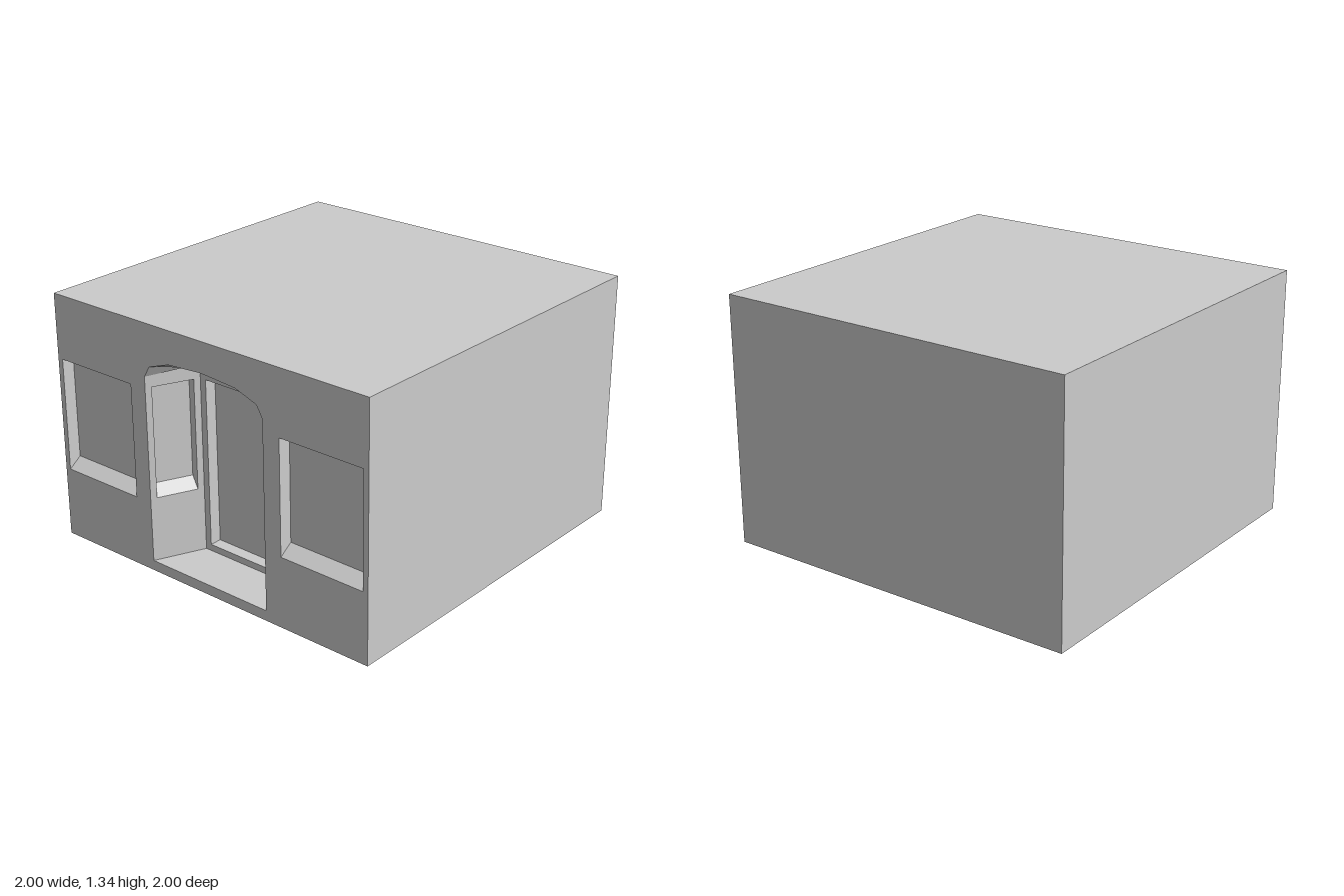
import * as THREE from 'three';

const H = 1.335;          // building height
const STEP = 0.055;       // porch floor height
const FRONT_X = 0.38;     // porch half width at the facade
const BACK_X = 0.265;     // porch half width at the door wall
const BACK_Z = 0.74;      // door wall depth
const BACK_TOP = 1.08;    // porch ceiling height at the door wall

const material = new THREE.MeshStandardMaterial({
  color: 0xcccccc, side: THREE.DoubleSide, flatShading: true,
});

// Mesh from quads, each given as four corners counter-clockwise from the front
function quadMesh(name, quads) {
  const positions = [];
  for (const [a, b, c, d] of quads) positions.push(...a, ...b, ...c, ...a, ...c, ...d);
  const geometry = new THREE.BufferGeometry();
  geometry.setAttribute('position', new THREE.Float32BufferAttribute(positions, 3));
  geometry.computeVertexNormals();
  const mesh = new THREE.Mesh(geometry, material);
  mesh.name = name;
  return mesh;
}

// Recess behind an opening: jambs, head, sloping sill and a flat pane
function recess({ name, x0, x1, y0, y1, depth, rise = 0 }) {
  const front = [[x0, y0, 0], [x1, y0, 0], [x1, y1, 0], [x0, y1, 0]];
  const back = [[x0, y0 + rise, -depth], [x1, y0 + rise, -depth], [x1, y1, -depth], [x0, y1, -depth]];
  const group = new THREE.Group();
  group.name = name;
  const reveal = front.map((p, i) => {
    const j = (i + 1) % 4;
    return [p, front[j], back[j], back[i]];
  });
  group.add(quadMesh(name + 'Reveal', reveal), quadMesh(name + 'Pane', [back]));
  return group;
}

// Flat wall in local x/y facing +z, with recessed openings and optional plain holes
function wall(name, outline, openings, holes = []) {
  const toPath = (points) => points.map(([x, y]) => new THREE.Vector2(x, y));
  const shape = new THREE.Shape(toPath(outline));
  for (const { x0, x1, y0, y1 } of openings) {
    shape.holes.push(new THREE.Path(toPath([[x0, y0], [x0, y1], [x1, y1], [x1, y0]])));
  }
  for (const hole of holes) shape.holes.push(new THREE.Path(toPath(hole)));
  const group = new THREE.Group();
  group.name = name;
  const face = new THREE.Mesh(new THREE.ShapeGeometry(shape), material);
  face.name = name + 'Face';
  group.add(face, ...openings.map(recess));
  return group;
}

export function createModel() {
  const model = new THREE.Group();
  model.name = 'building';

  // Shallow segmental arch, from left to right
  const half = [[-FRONT_X, 1.055], [-0.345, 1.115], [-0.215, 1.16]];
  const arch = [...half, [0, 1.175], ...half.map(([x, y]) => [-x, y]).reverse()];

  // Facade with two windows and the arched porch opening
  const windows = [-1, 1].map((s) => ({
    name: s < 0 ? 'rightWindow' : 'leftWindow',
    x0: s * 0.725 - 0.245, x1: s * 0.725 + 0.245, y0: 0.38, y1: 0.99, depth: 0.07, rise: 0.05,
  }));
  const facade = wall('facade', [[-1, 0], [1, 0], [1, H], [-1, H]], windows,
    [[[-FRONT_X, STEP], ...arch, [FRONT_X, STEP]]]);
  facade.position.z = 1;
  model.add(facade);

  // Back, side walls and roof
  model.add(quadMesh('backWall', [[[1, 0, -1], [-1, 0, -1], [-1, H, -1], [1, H, -1]]]));
  model.add(quadMesh('leftWall', [[[1, 0, 1], [1, 0, -1], [1, H, -1], [1, H, 1]]]));
  model.add(quadMesh('rightWall', [[[-1, 0, -1], [-1, 0, 1], [-1, H, 1], [-1, H, -1]]]));
  model.add(quadMesh('roof', [[[-1, H, 1], [1, H, 1], [1, H, -1], [-1, H, -1]]]));

  // Underside strips on both sides, open in the middle
  for (const [name, a, b] of [['rightBase', -1, -0.46], ['leftBase', 0.46, 1]]) {
    model.add(quadMesh(name, [[[a, 0, -1], [b, 0, -1], [b, 0, 1], [a, 0, 1]]]));
  }

  // Porch door wall
  const doorWall = wall('doorWall',
    [[-BACK_X, STEP], [BACK_X, STEP], [BACK_X, BACK_TOP], [-BACK_X, BACK_TOP]],
    [{ name: 'door', x0: -0.23, x1: 0.23, y0: 0.09, y1: 0.995, depth: 0.065 }]);
  doorWall.position.z = BACK_Z;
  model.add(doorWall);

  // Splayed porch side walls, each with a window
  const dx = FRONT_X - BACK_X, dz = 1 - BACK_Z;
  const length = Math.hypot(dx, dz), h = length / 2, w = length * 0.38;
  for (const s of [-1, 1]) {
    const name = s < 0 ? 'porchRightWall' : 'porchLeftWall';
    const topAtLeft = s < 0 ? arch[0][1] : BACK_TOP;
    const topAtRight = s < 0 ? BACK_TOP : arch[0][1];
    const side = wall(name, [[-h, STEP], [h, STEP], [h, topAtRight], [-h, topAtLeft]],
      [{ name: name + 'Window', x0: -w, x1: w, y0: 0.4, y1: 0.995, depth: 0.065, rise: 0.05 }]);
    side.position.set(s * (FRONT_X + BACK_X) / 2, 0, (1 + BACK_Z) / 2);
    side.rotation.y = Math.atan2(-s * dz, dx);
    model.add(side);
  }

  // Porch floor and the ceiling running from the arch down to the door wall
  model.add(quadMesh('porchFloor', [[
    [-FRONT_X, STEP, 1], [FRONT_X, STEP, 1], [BACK_X, STEP, BACK_Z], [-BACK_X, STEP, BACK_Z],
  ]]));
  const toBack = ([x]) => [x * BACK_X / FRONT_X, BACK_TOP, BACK_Z];
  model.add(quadMesh('porchCeiling', arch.slice(1).map((p, i) => {
    const q = arch[i];
    return [[...q, 1], toBack(q), toBack(p), [...p, 1]];
  })));

  return model;
}
